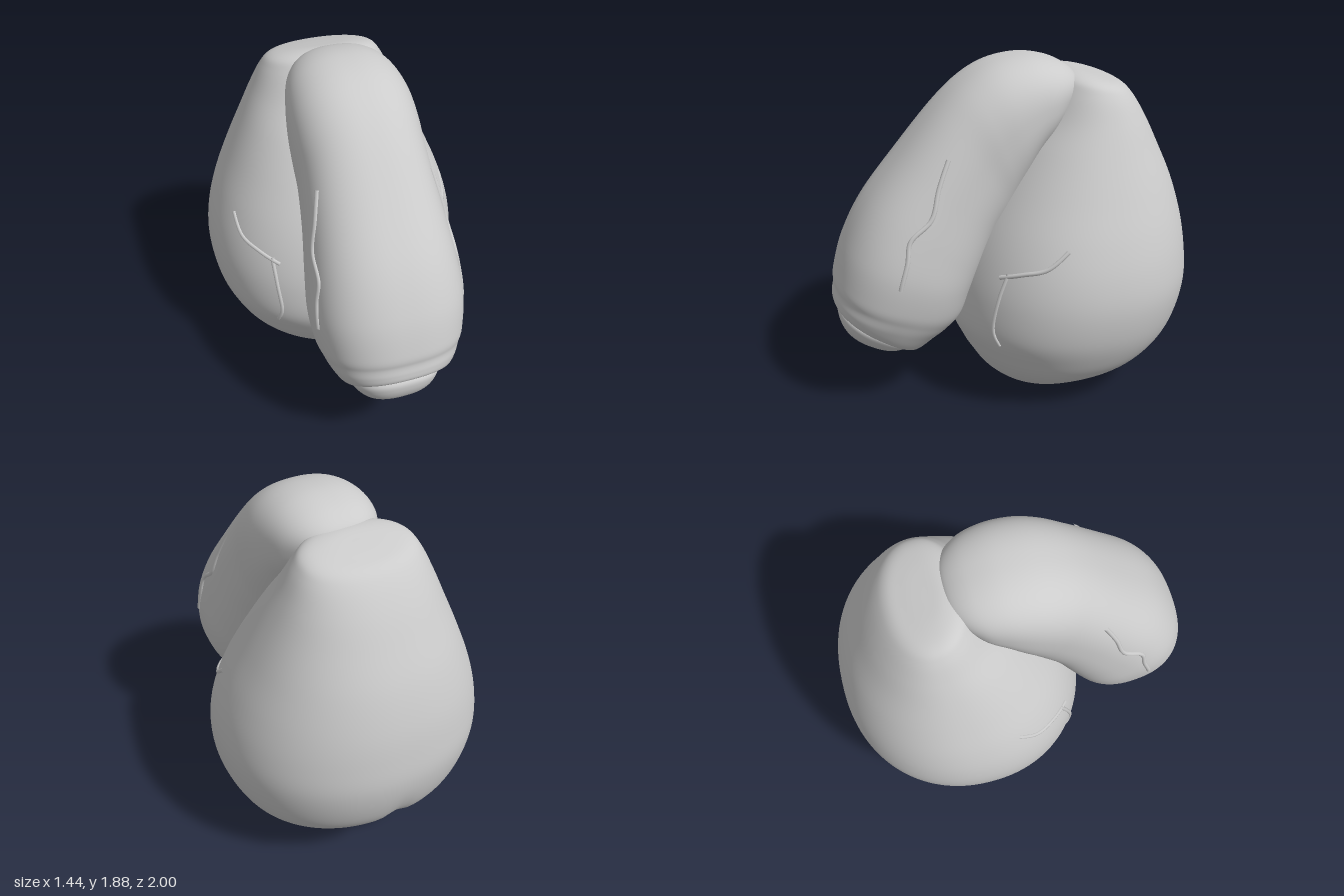
import * as THREE from 'three';
import { mergeVertices } from 'three/addons/utils/BufferGeometryUtils.js';

const material = new THREE.MeshStandardMaterial({ color: 0xcccccc });
const spow = (v, e) => Math.sign(v) * Math.pow(Math.abs(v), e);

// Smooth surface through rings [frontZ, frontY, backZ, backY, halfWidth], listed upwards.
// Returns a function of u (along, 0..1) and a (angle, 0 = front, PI/2 = +x).
function ringSurface(rings, power, warp = (p) => p) {
  const front = new THREE.CatmullRomCurve3(
    rings.map(([fz, fy, , , w]) => new THREE.Vector3(w, fy, fz)), false, 'catmullrom', 0.5);
  const back = new THREE.CatmullRomCurve3(
    rings.map(([, , bz, by]) => new THREE.Vector3(0, by, bz)), false, 'catmullrom', 0.5);
  return (u, a) => {
    const f = front.getPoint(u), b = back.getPoint(u);
    const c = spow(Math.cos(a), 2 / power), s = spow(Math.sin(a), 2 / power);
    return warp(new THREE.Vector3(
      Math.max(f.x, 0) * s,
      (f.y + b.y) / 2 + (f.y - b.y) / 2 * c,
      (f.z + b.z) / 2 + (f.z - b.z) / 2 * c));
  };
}

function surfaceMesh(name, surface, rows = 90, cols = 96) {
  const pos = [], index = [];
  for (let i = 0; i <= rows; i++) {
    for (let j = 0; j < cols; j++) {
      pos.push(...surface(i / rows, j / cols * Math.PI * 2).toArray());
      if (i === rows) continue;
      const k = (j + 1) % cols, a = i * cols + j, b = i * cols + k;
      index.push(a, b, a + cols, b, b + cols, a + cols);
    }
  }
  let geo = new THREE.BufferGeometry();
  geo.setAttribute('position', new THREE.Float32BufferAttribute(pos, 3));
  geo.setIndex(index);
  geo = mergeVertices(geo, 1e-5);
  geo.computeVertexNormals();
  const mesh = new THREE.Mesh(geo, material);
  mesh.name = name;
  return mesh;
}

// Raised vein: a thin tube lying half sunk along [u, angle] points of a surface
function vein(name, surface, path, radius) {
  const line = new THREE.CatmullRomCurve3(path.map(([u, a]) => new THREE.Vector3(u, a, 0)));
  const pts = line.getPoints(24).map((p) => surface(p.x, p.y).multiply(new THREE.Vector3(0.995, 1, 1)));
  const geo = new THREE.TubeGeometry(new THREE.CatmullRomCurve3(pts), 60, radius, 8);
  const mesh = new THREE.Mesh(geo, material);
  mesh.name = name;
  return mesh;
}

export function createModel() {
  const group = new THREE.Group();

  // Pear-shaped sac with a shallow cleft low on the midline
  const cleft = (p) => {
    const g = Math.exp(-((p.x / 0.06) ** 2)) * (1 - THREE.MathUtils.smoothstep(p.y, 0.08, 0.6));
    p.y += (0.6 - p.y) * 0.055 * g;
    p.z += (-0.3 - p.z) * 0.055 * g;
    return p;
  };
  const sac = ringSurface([
    [-0.18, 0.0, -0.18, 0.0, 0],
    [0.0, 0.01, -0.36, 0.01, 0.2],
    [0.11, 0.06, -0.48, 0.05, 0.35],
    [0.19, 0.13, -0.65, 0.12, 0.47],
    [0.25, 0.22, -0.8, 0.22, 0.58],
    [0.31, 0.33, -0.91, 0.34, 0.65],
    [0.36, 0.47, -0.97, 0.48, 0.7],
    [0.35, 0.65, -1.0, 0.65, 0.72],
    [0.31, 0.82, -0.99, 0.82, 0.7],
    [0.24, 1.0, -0.96, 1.0, 0.645],
    [0.13, 1.2, -0.9, 1.2, 0.56],
    [0.0, 1.4, -0.81, 1.4, 0.47],
    [-0.12, 1.56, -0.74, 1.54, 0.4],
    [-0.21, 1.71, -0.67, 1.65, 0.335],
    [-0.26, 1.77, -0.61, 1.71, 0.28],
    [-0.34, 1.785, -0.53, 1.74, 0.17],
    [-0.44, 1.765, -0.44, 1.765, 0],
  ], 2.15, cleft);
  group.add(surfaceMesh('sac', sac, 110, 120));

  // Curved shaft, from the inside of the rolled lip up to the rounded base
  const shaft = ringSurface([
    [0.78, 0.47, 0.78, 0.47, 0],
    [0.93, 0.575, 0.61, 0.35, 0.21],
    [0.965, 0.575, 0.575, 0.312, 0.255],
    [0.995, 0.605, 0.535, 0.315, 0.29],
    [0.995, 0.645, 0.45, 0.385, 0.33],
    [0.985, 0.69, 0.38, 0.44, 0.355],
    [0.98, 0.76, 0.31, 0.52, 0.382],
    [0.92, 0.95, 0.26, 0.65, 0.4],
    [0.8, 1.17, 0.2, 0.78, 0.385],
    [0.6, 1.42, 0.12, 0.95, 0.355],
    [0.4, 1.65, 0.04, 1.06, 0.335],
    [0.25, 1.78, 0.0, 1.15, 0.335],
    [0.1, 1.855, -0.05, 1.25, 0.33],
    [-0.07, 1.88, -0.1, 1.35, 0.31],
    [-0.22, 1.855, -0.16, 1.43, 0.275],
    [-0.32, 1.8, -0.23, 1.52, 0.21],
    [-0.35, 1.74, -0.3, 1.62, 0.12],
    [-0.33, 1.68, -0.33, 1.68, 0],
  ], 2.4, (p) => { p.x += 0.012; return p; });
  group.add(surfaceMesh('shaft', shaft, 130, 96));

  // Rounded tip inside the lip, with a small notch low on the midline
  const notch = (p) => {
    const g = Math.exp(-((p.x / 0.022) ** 2)) * (1 - THREE.MathUtils.smoothstep(p.y, 0.33, 0.39));
    p.y += 0.03 * g;
    p.z -= 0.02 * g;
    return p;
  };
  const tip = ringSurface([
    [0.84, 0.335, 0.84, 0.335, 0],
    [0.91, 0.39, 0.75, 0.295, 0.1],
    [0.955, 0.445, 0.67, 0.283, 0.17],
    [0.975, 0.51, 0.61, 0.3, 0.215],
    [0.965, 0.56, 0.6, 0.335, 0.225],
    [0.9, 0.58, 0.62, 0.41, 0.18],
    [0.75, 0.52, 0.75, 0.52, 0],
  ], 2.5, notch);
  group.add(surfaceMesh('tip', tip, 60, 80));

  // Veins on both sides
  for (const side of [1, -1]) {
    const s = (path) => path.map(([u, a]) => [u, a * side]);
    group.add(vein('shaftVein', shaft,
      s([[0.56, 1.0], [0.53, 1.15], [0.5, 1.3], [0.47, 1.2], [0.44, 1.3], [0.4, 1.35]]), 0.013));
    group.add(vein('sacVein', sac,
      s([[0.56, 1.2], [0.53, 1.05], [0.515, 0.85], [0.5, 0.65]]), 0.012));
    group.add(vein('sacVeinBranch', sac,
      s([[0.51, 0.72], [0.46, 0.68], [0.4, 0.66], [0.36, 0.72]]), 0.011));
  }
  return group;
}
